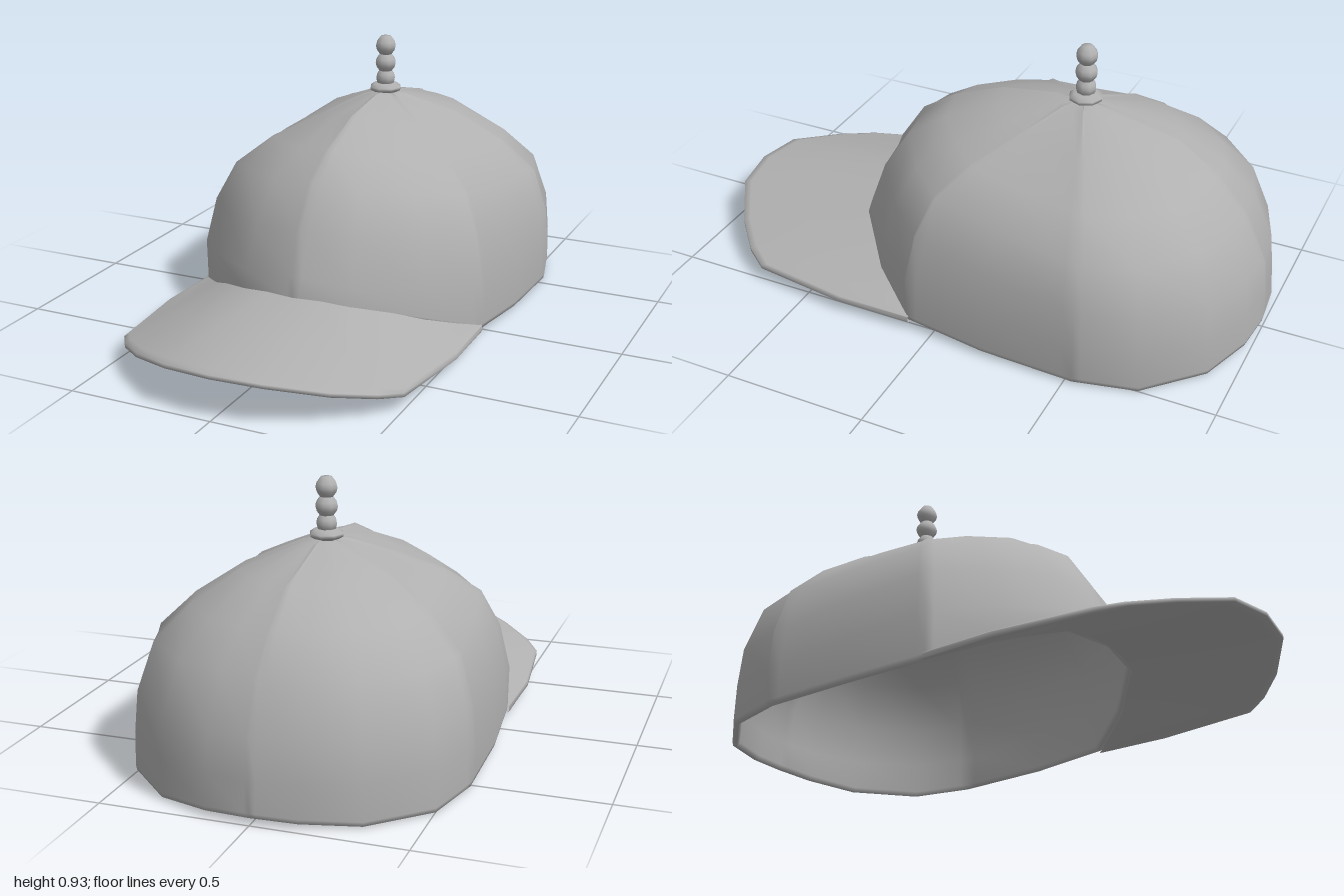
import * as THREE from 'three';

const APEX = [0, 0.73, -0.32];
// right half of the crown's lower edge, front to back: x, y, z
const RIM = [
  [0, 0.185, 0.45], [0.2, 0.175, 0.42], [0.4, 0.11, 0.26], [0.53, 0.04, 0.09], [0.557, 0.022, -0.2],
  [0.56, 0.012, -0.53], [0.505, 0.006, -0.74], [0.33, 0.01, -0.915], [0.15, 0.022, -0.985], [0, 0.026, -1],
];
// seam profiles from button to rim: fraction of the way out, height
const PROFILES = {
  0: [[0.12, 0.725], [0.38, 0.7], [0.62, 0.63], [0.78, 0.55], [0.9, 0.41], [0.97, 0.27]],
  3: [[0.12, 0.715], [0.35, 0.655], [0.62, 0.58], [0.82, 0.49], [0.93, 0.36], [0.99, 0.2]],
  5: [[0.12, 0.715], [0.43, 0.645], [0.7, 0.545], [0.9, 0.435], [0.98, 0.28], [1, 0.14]],
  9: [[0.12, 0.715], [0.5, 0.65], [0.7, 0.55], [0.85, 0.44], [0.965, 0.27], [0.985, 0.14]],
};
const SEAMS = [0, 3, 5, 9];
const mix = (a, b, t) => a.map((v, i) => v + (b[i] - v) * t);

// joins rows of points (all the same length) into a smooth surface
function skin(rows, closed) {
  const n = rows[0].length, index = [];
  for (let k = 0; k < rows.length - 1; k++) {
    for (let j = 0; j < (closed ? n : n - 1); j++) {
      const j2 = (j + 1) % n;
      const a = k * n + j, b = a + n, c = (k + 1) * n + j2, d = k * n + j2;
      index.push(a, b, c, a, c, d);
    }
  }
  const geo = new THREE.BufferGeometry();
  geo.setAttribute('position', new THREE.Float32BufferAttribute(rows.flat(2), 3));
  geo.setIndex(index);
  geo.computeVertexNormals();
  return geo;
}

// one line down the crown at u (0 front, 9 back, 18 front again), outside then inside
function meridian(u, ridge) {
  const side = u > 9 ? -1 : 1, h = u > 9 ? 18 - u : u;
  const i = Math.min(8, Math.floor(h));
  const rim = mix(RIM[i], RIM[i + 1], h - i);
  const s = h >= 5 ? 2 : h >= 3 ? 1 : 0;
  const t = (h - SEAMS[s]) / (SEAMS[s + 1] - SEAMS[s]);
  const prof = PROFILES[SEAMS[s]].map((p, k) => mix(p, PROFILES[SEAMS[s + 1]][k], t));
  const at = (f, y) => [side * rim[0] * f, y, APEX[2] + (rim[2] - APEX[2]) * f];
  const lift = ridge ? 0.014 : 0;
  const out = prof.map(([f, y]) => at(f * (1 + lift), y + lift * 0.5 * (1 - f)));
  const inside = prof.map(([f, y]) => at(f * 0.965, y - 0.016)).reverse();
  return [
    at(0.005, APEX[1]), ...out, at(1, rim[1] + 0.015), at(0.995, rim[1]),
    at(0.975, rim[1] - 0.004), at(0.96, rim[1] + 0.012), ...inside, at(0.005, APEX[1] - 0.018),
  ];
}

function crownGeometry() {
  const columns = [];
  for (let u = 0; u < 18; u++) {
    const seam = SEAMS.includes(u > 9 ? 18 - u : u);
    if (seam) columns.push(meridian((u + 17.88) % 18, false));
    columns.push(meridian(u, seam));
    if (seam) columns.push(meridian(u + 0.12, false));
  }
  return skin(columns[0].map((_, k) => columns.map((c) => c[k])), true);
}

function brimGeometry() {
  // matching points on the crown edge and on the outer edge, middle to side
  const inner = [[0, 0.2, 0.44], [0.1, 0.198, 0.43], [0.2, 0.19, 0.41], [0.31, 0.155, 0.32],
    [0.4, 0.118, 0.25], [0.47, 0.083, 0.165], [0.53, 0.055, 0.08]];
  const outer = [[0, 0.16, 1], [0.17, 0.152, 0.975], [0.34, 0.112, 0.87], [0.45, 0.085, 0.77],
    [0.505, 0.068, 0.69], [0.545, 0.06, 0.35], [0.536, 0.056, 0.085]];
  const mirror = (pts) => [...pts.slice(1).reverse().map(([x, y, z]) => [-x, y, z]), ...pts];
  const row = (t, drop) => mirror(inner.map((p, i) => {
    const [x, y, z] = mix(p, outer[i], t);
    return [x, y - drop, z];
  }));
  return skin([row(0, 0), row(0.5, 0), row(0.95, 0), row(1, 0.004), row(1, 0.018),
    row(0.95, 0.022), row(0.5, 0.022), row(0, 0.022)], false);
}

export function createModel() {
  const group = new THREE.Group();
  const grey = new THREE.MeshStandardMaterial({ color: 0xb0b0b0, side: THREE.DoubleSide });
  grey.name = 'grey cloth';
  const add = (name, geo) => {
    const mesh = new THREE.Mesh(geo, grey);
    mesh.name = name;
    group.add(mesh);
    return mesh;
  };

  add('crown', crownGeometry());
  add('brim', brimGeometry());

  // flat button with a stack of beads on top
  const lathe = (pts) => new THREE.LatheGeometry(pts.map(([r, y]) => new THREE.Vector2(r, y)), 8);
  add('button', lathe([[0, 0.715], [0.04, 0.722], [0.058, 0.732], [0.058, 0.742], [0.042, 0.754], [0, 0.758]]))
    .position.set(-0.005, 0, -0.322);
  [[0.773, 0.036], [0.83, 0.039], [0.892, 0.038]].forEach(([y, r], i) => {
    const bead = lathe([[0, -0.036], [0.5 * r, -0.035], [0.9 * r, -0.014], [r, 0],
      [0.9 * r, 0.014], [0.5 * r, 0.035], [0, 0.036]]);
    add('bead' + (i + 1), bead).position.set(-0.005, y, -0.322);
  });
  return group;
}
